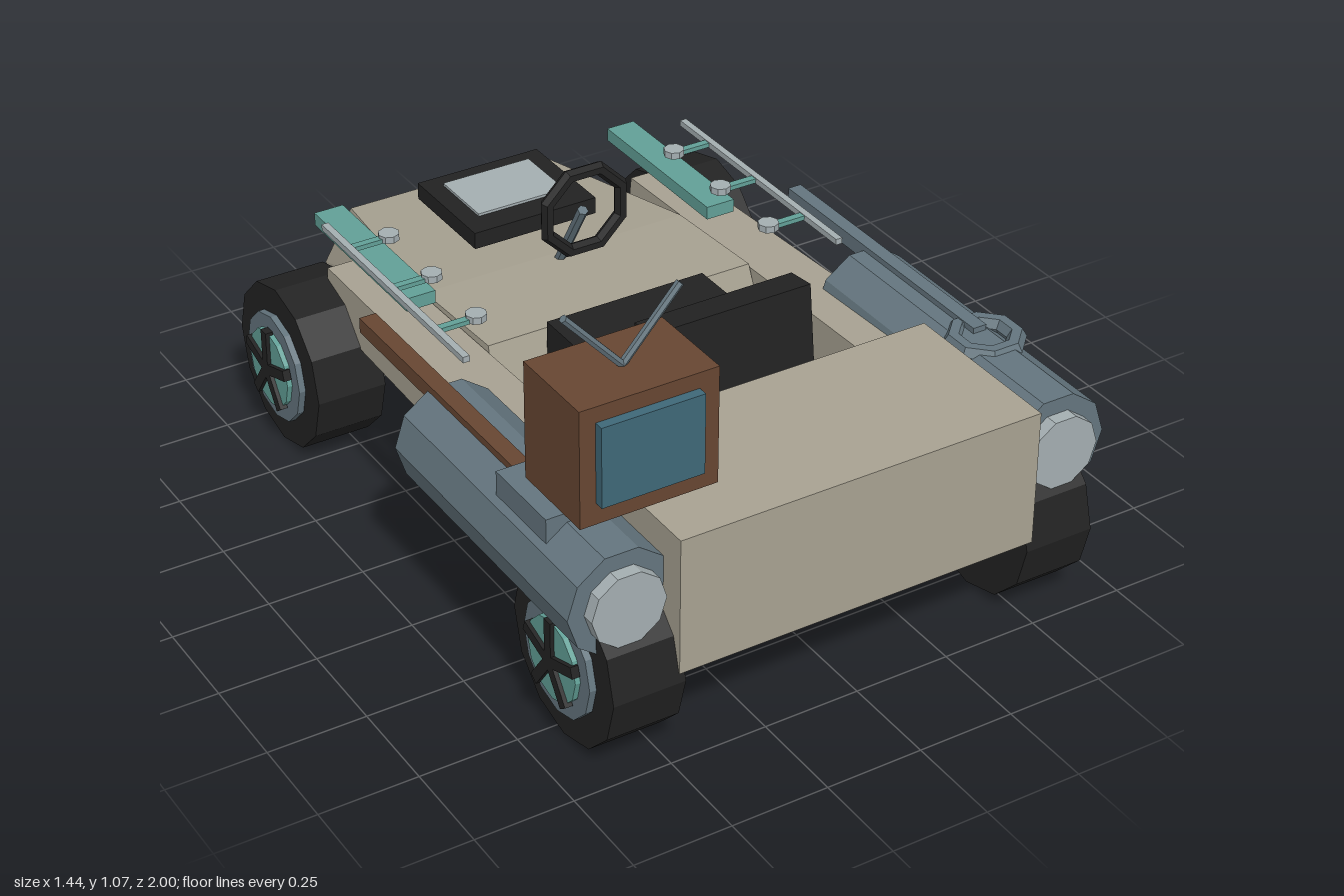
import * as THREE from 'three';
import { ConvexGeometry } from 'three/addons/geometries/ConvexGeometry.js';

const mat = (name, color) => {
  const m = new THREE.MeshStandardMaterial({ color, flatShading: true });
  m.name = name;
  return m;
};

export function createModel() {
  const beige = mat('beige', 0xa8a292), black = mat('black', 0x222222), steel = mat('steel', 0x64757e);
  const teal = mat('teal', 0x62a097), pale = mat('pale grey', 0xa4aeb1), brown = mat('brown', 0x674632);
  const glass = mat('screen blue', 0x3f6878), padGrey = mat('pad grey', 0x5a5552);
  const root = new THREE.Group();

  const add = (name, geo, material, parent = root) => {
    const mesh = new THREE.Mesh(geo, material);
    mesh.name = name;
    parent.add(mesh);
    return mesh;
  };
  // Box given by its extents on each axis
  const box = (name, material, [x0, x1], [y0, y1], [z0, z1], parent = root) => {
    const m = add(name, new THREE.BoxGeometry(Math.abs(x1 - x0), y1 - y0, z1 - z0), material, parent);
    m.position.set((x0 + x1) / 2, (y0 + y1) / 2, (z0 + z1) / 2);
    return m;
  };
  // Straight rod between two points
  const rod = (name, material, a, b, r, sides = 6) => {
    const p = new THREE.Vector3(...a), q = new THREE.Vector3(...b);
    const m = add(name, new THREE.CylinderGeometry(r, r, p.distanceTo(q), sides), material);
    m.position.copy(p).add(q).multiplyScalar(0.5);
    m.quaternion.setFromUnitVectors(new THREE.Vector3(0, 1, 0), q.sub(p).normalize());
    return m;
  };
  const hull = (name, pts, material) =>
    add(name, new ConvexGeometry(pts.map(p => new THREE.Vector3(...p))), material);

  // Body: front block and tapered nose
  box('frontBlock', beige, [-0.48, 0.48], [0.24, 0.595], [0.545, 1]);
  const half = [[0.33, 0.23, -1], [0.28, 0.41, -0.935], [0.39, 0.23, -0.36], [0.37, 0.478, -0.36],
    [0.39, 0.23, 0.04], [0.37, 0.495, -0.04]];
  hull('nose', half.flatMap(([x, y, z]) => [[x, y, z], [-x, y, z]]), beige);

  // Wheel with stepped hub and five spokes, facing outward on side s
  const wheel = (s, z) => {
    const g = new THREE.Group();
    g.name = 'wheel';
    const disc = (name, r, x0, x1, material) => {
      const d = add(name, new THREE.CylinderGeometry(r, r, x1 - x0, 12).rotateZ(Math.PI / 2), material, g);
      d.position.x = s * (x0 + x1) / 2;
    };
    disc('tyre', 0.218, 0.465, 0.65, black);
    disc('hubPlate', 0.145, 0.64, 0.667, steel);
    disc('hubDisc', 0.105, 0.66, 0.68, teal);
    for (let i = 0; i < 5; i++) {
      const spoke = add('spoke', new THREE.BoxGeometry(0.02, 0.11, 0.028).translate(0, 0.055, 0), black, g);
      spoke.position.x = s * 0.68;
      spoke.rotation.x = i * Math.PI * 2 / 5;
    }
    g.position.set(0, 0.218, z);
    root.add(g);
  };

  for (const s of [1, -1]) {
    for (const z of [0.785, -0.625]) wheel(s, z);

    // Side rail linking block and nose
    const rail = [];
    for (const x of [0.375, 0.54]) {
      rail.push([s * x, 0.32, 0.56], [s * x, 0.5, 0.56]);
      const e = x > 0.5 ? 0.51 : x;
      rail.push([s * e, 0.32, -0.63], [s * e, 0.465, -0.61]);
    }
    hull('sideRail', rail, beige);

    // Side tank with lamp
    const tank = add('sideTank',
      new THREE.CylinderGeometry(0.137, 0.137, 0.785, 10, 1, false, Math.PI / 2).rotateX(Math.PI / 2), steel);
    tank.position.set(s * 0.585, 0.43, 0.5375);
    const lamp = add('headlamp',
      new THREE.CylinderGeometry(0.095, 0.095, 0.035, 10, 1, false, Math.PI / 2).rotateX(Math.PI / 2), pale);
    lamp.position.set(s * 0.585, 0.43, 0.945);

    // Hand rail with cross bars, knobs and a plank
    box('handRail', pale, [s * 0.512, s * 0.53], [0.59, 0.606], [-0.59, 0.13]);
    for (const z of [-0.46, -0.24, -0.02]) {
      box('crossBar', teal, [s * 0.4, s * 0.515], [0.592, 0.604], [z - 0.01, z + 0.01]);
      const knob = add('knob', new THREE.CylinderGeometry(0.027, 0.027, 0.018, 8), pale);
      knob.position.set(s * 0.412, 0.603, z);
    }
    box('sidePlank', teal, [s * 0.39, s * 0.47], [0.505, 0.54], [-0.755, -0.265]);
  }

  // Fittings on top of the tanks
  box('steelBar', steel, [0.585, 0.622], [0.535, 0.575], [-0.19, 0.6]);
  const ring = add('valveRing', new THREE.TorusGeometry(0.077, 0.025, 6, 8).rotateX(Math.PI / 2), steel);
  ring.rotation.y = Math.PI / 8;
  ring.position.set(0.605, 0.55, 0.62);
  box('brownBar', brown, [-0.632, -0.588], [0.535, 0.575], [-0.195, 0.6]);
  box('setMount', steel, [-0.68, -0.535], [0.5, 0.585], [0.55, 0.77]);

  // Television set
  box('televisionCase', brown, [-0.65, -0.3], [0.605, 0.905], [0.63, 0.865]);
  box('televisionScreen', glass, [-0.61, -0.35], [0.66, 0.865], [0.86, 0.89]);
  for (const x of [-0.62, -0.33]) rod('antenna', steel, [-0.475, 0.905, 0.75], [x, 1.065, 0.75], 0.01);

  // Seat
  box('seatCushion', black, [-0.22, 0.22], [0.41, 0.525], [-0.02, 0.45]);
  const back = new THREE.Group();
  back.name = 'seatBack';
  box('backrest', black, [-0.215, 0.215], [-0.04, 0.235], [-0.04, 0.04], back);
  box('backPad', padGrey, [-0.165, 0.165], [0.06, 0.21], [-0.06, -0.035], back);
  back.position.set(0, 0.5, 0.442);
  back.rotation.x = -0.12;
  root.add(back);

  // Steering wheel and column
  const steer = add('steeringWheel', new THREE.TorusGeometry(0.112, 0.018, 6, 8), black);
  steer.rotation.z = Math.PI / 8;
  steer.position.set(0, 0.675, -0.215);
  rod('steeringColumn', steel, [0, 0.67, -0.22], [0, 0.46, -0.345], 0.014);

  // Dashboard display
  box('displayCase', black, [-0.175, 0.175], [0.495, 0.54], [-0.755, -0.455]);
  box('displayScreen', pale, [-0.125, 0.125], [0.538, 0.547], [-0.71, -0.525]);

  return root;
}
